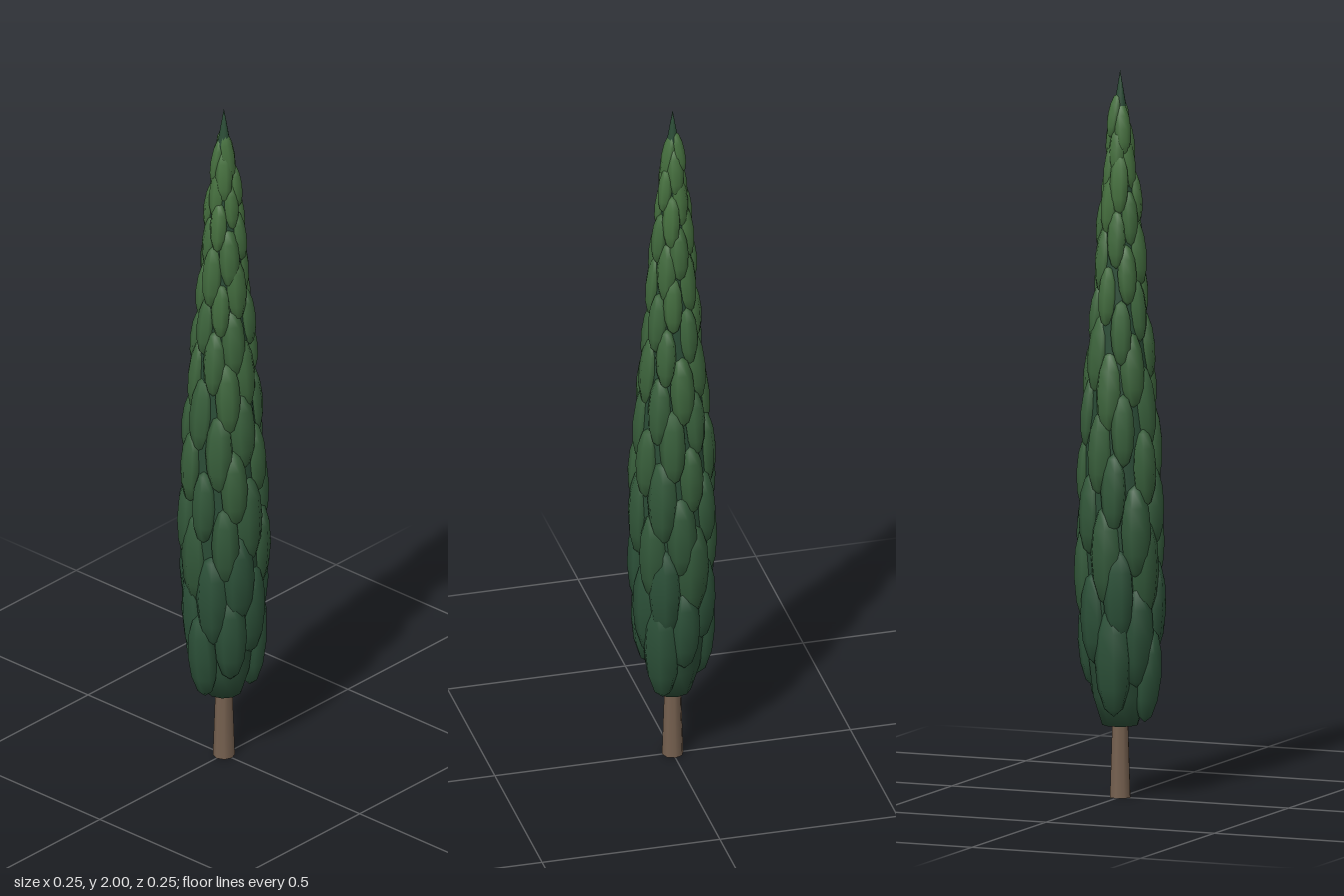
import * as THREE from 'three';

// Foliage outline: [height, outer radius]
const OUTLINE = [[0.2, 0.09], [0.3, 0.115], [0.5, 0.123], [0.7, 0.128], [0.9, 0.123], [1.0, 0.118],
  [1.2, 0.1], [1.4, 0.081], [1.6, 0.064], [1.8, 0.042], [1.9, 0.028], [2, 0]];

function outerRadius(y) {
  let i = 1;
  while (i < OUTLINE.length - 1 && OUTLINE[i][0] < y) i++;
  const [y0, r0] = OUTLINE[i - 1], [y1, r1] = OUTLINE[i];
  return THREE.MathUtils.lerp(r0, r1, (y - y0) / (y1 - y0));
}

function seeded(seed) {
  return () => {
    seed = (seed * 16807) % 2147483647;
    return seed / 2147483647;
  };
}

export function createModel() {
  const group = new THREE.Group();
  const random = seeded(41);
  const add = (name, geometry, material, parent = group) => {
    const mesh = new THREE.Mesh(geometry, material);
    mesh.name = name;
    parent.add(mesh);
    return mesh;
  };

  // Tapered trunk
  const bark = new THREE.MeshStandardMaterial({ color: 0x75604f });
  add('trunk', new THREE.CylinderGeometry(0.02, 0.03, 0.3, 8), bark).position.y = 0.15;

  // Solid inner foliage, closed below and pointed at the top
  const core = [[0, 0.2], [0.05, 0.2], [0.075, 0.28], [0.095, 0.45], [0.102, 0.7], [0.094, 1],
    [0.077, 1.2], [0.06, 1.4], [0.046, 1.6], [0.03, 1.78], [0.017, 1.9], [0, 2]]
    .map(([r, y]) => new THREE.Vector2(r, y));
  add('foliageCore', new THREE.LatheGeometry(core, 10), new THREE.MeshStandardMaterial({ color: 0x2b4c36 }));

  // Overlapping tufts in a rising spiral, lighter towards the top
  const low = new THREE.Color(0x2c5038), high = new THREE.Color(0x46703f);
  const greens = Array.from({ length: 6 }, (_, i) =>
    new THREE.MeshStandardMaterial({ color: low.clone().lerp(high, i / 5) }));
  const tuftShape = new THREE.SphereGeometry(1, 7, 6);
  const tufts = new THREE.Group();
  tufts.name = 'tufts';
  group.add(tufts);

  let y = 0.34;
  for (let i = 0; y < 1.885; i++) {
    const t = (y - 0.34) / 1.55;
    const size = 0.9 + 0.2 * random();
    const halfHeight = THREE.MathUtils.lerp(0.145, 0.065, t) * size;
    const halfWidth = THREE.MathUtils.lerp(0.049, 0.021, t) * size;
    const depth = halfWidth * 0.8;
    const angle = i * 2.39996 + (random() - 0.5) * 0.25;
    const radius = Math.max(0.008, outerRadius(y) - depth + (random() - 0.5) * 0.008);
    const slope = (outerRadius(y + 0.08) - outerRadius(y - 0.08)) / 0.16;

    const tuft = add('tuft', tuftShape, greens[Math.min(5, Math.floor(t * 6))], tufts);
    tuft.scale.set(halfWidth, halfHeight, depth);
    tuft.position.set(Math.sin(angle) * radius, y, Math.cos(angle) * radius);
    tuft.rotation.set(Math.atan(slope), angle, 0, 'YXZ');
    y += THREE.MathUtils.lerp(0.023, 0.018, t);
  }
  return group;
}
